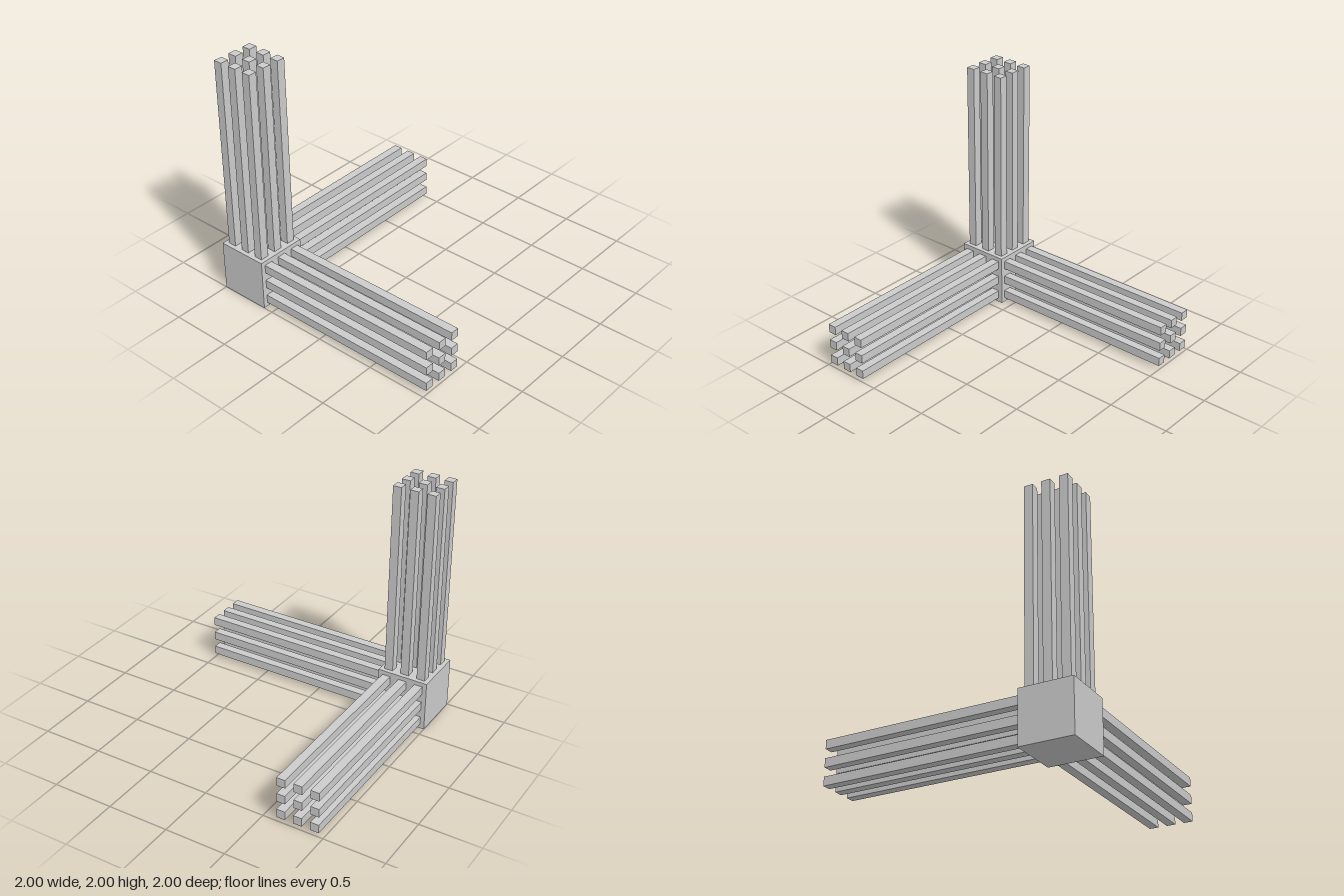
import * as THREE from 'three';

export function createModel() {
  const model = new THREE.Group();
  const material = new THREE.MeshStandardMaterial({ color: 0xcccccc, flatShading: true });
  const block = 0.42, bar = 0.07, length = 2 - block;
  const rows = [0.07, 0.21, 0.35];

  // corner block, measured from the back right bottom corner
  const hub = new THREE.Mesh(new THREE.BoxGeometry(block, block, block), material);
  hub.name = 'cornerBlock';
  hub.position.set(block / 2 - 1, block / 2, block / 2 - 1);
  model.add(hub);

  // one 3 x 3 bundle of square bars along each axis
  ['x', 'y', 'z'].forEach((axis, i, axes) => {
    const bundle = new THREE.Group();
    bundle.name = ['sideBars', 'uprightBars', 'frontBars'][i];
    bundle.position.set(-1, 0, -1);
    const size = [bar, bar, bar];
    size[i] = length;
    const geometry = new THREE.BoxGeometry(...size);
    for (const u of rows) {
      for (const v of rows) {
        const mesh = new THREE.Mesh(geometry, material);
        mesh.name = 'bar';
        mesh.position[axis] = block + length / 2;
        mesh.position[axes[(i + 1) % 3]] = u;
        mesh.position[axes[(i + 2) % 3]] = v;
        bundle.add(mesh);
      }
    }
    model.add(bundle);
  });

  return model;
}
